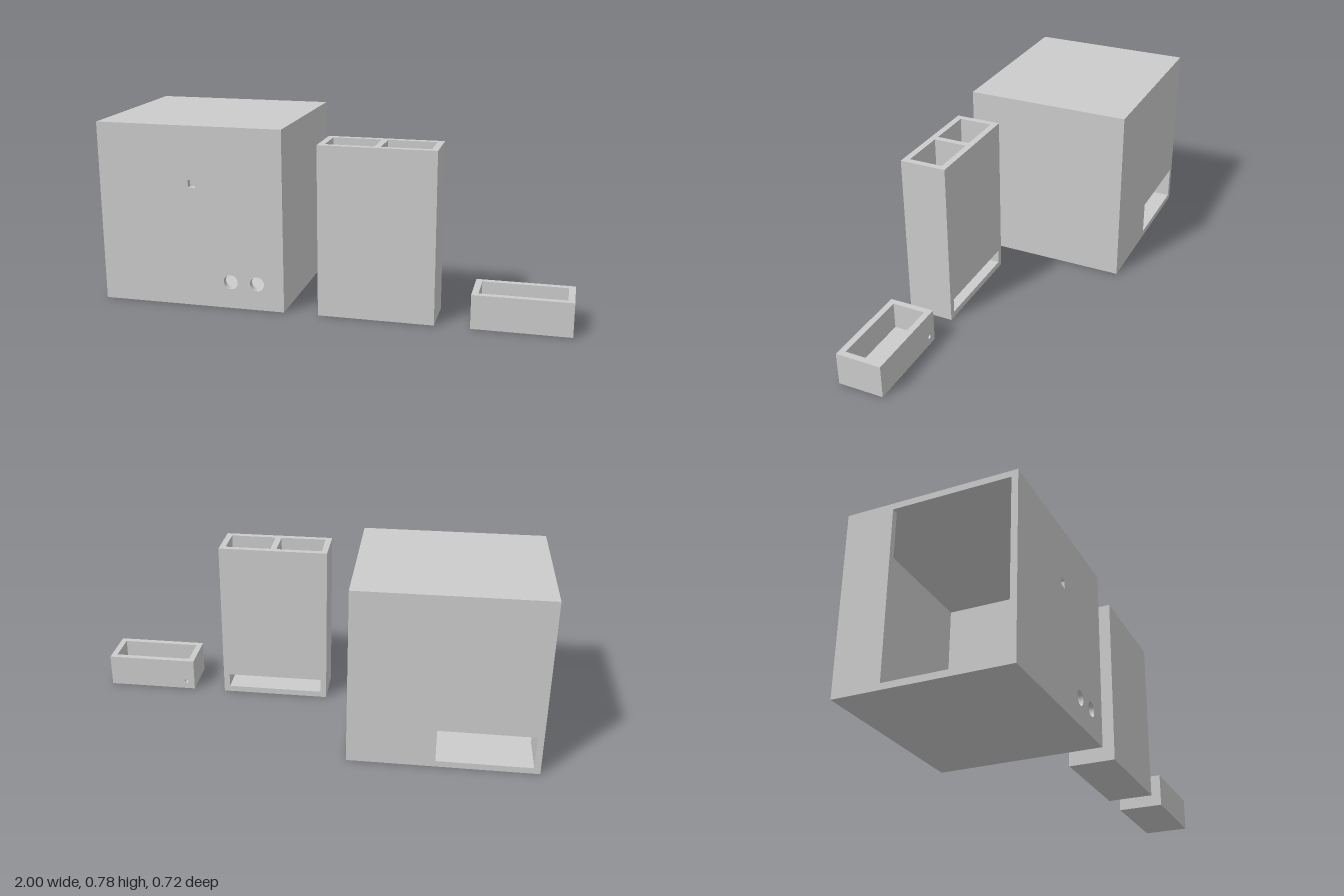
import * as THREE from 'three';

const T = 0.027; // wall thickness
const FRONT = 0.36;
const material = new THREE.MeshStandardMaterial({ color: 0xcccccc });

function add(group, name, geometry) {
  const mesh = new THREE.Mesh(geometry, material);
  mesh.name = name;
  group.add(mesh);
}

// Solid block between two corners
function block(group, name, [x0, y0, z0], [x1, y1, z1]) {
  const g = new THREE.BoxGeometry(x1 - x0, y1 - y0, z1 - z0);
  g.translate((x0 + x1) / 2, (y0 + y1) / 2, (z0 + z1) / 2);
  add(group, name, g);
}

function rectPath(Type, x0, y0, x1, y1) {
  return new Type([[x0, y0], [x1, y0], [x1, y1], [x0, y1]].map(([x, y]) => new THREE.Vector2(x, y)));
}
const rectHole = (x0, y0, x1, y1) => rectPath(THREE.Path, x0, y0, x1, y1);
const roundHole = (x, y, r) => new THREE.Path().absarc(x, y, r, 0, Math.PI * 2, true);

// Plate of thickness T with holes cut through it
function plate(x0, y0, x1, y1, holes) {
  const shape = rectPath(THREE.Shape, x0, y0, x1, y1);
  shape.holes.push(...holes);
  return new THREE.ExtrudeGeometry(shape, { depth: T, bevelEnabled: false, curveSegments: 24 });
}
const upright = (group, name, rect, z, holes = []) =>
  add(group, name, plate(...rect, holes).translate(0, 0, z));
// Flat plate: rect and holes are in x and z, top is its upper height
const flat = (group, name, rect, top, holes = []) =>
  add(group, name, plate(...rect, holes).rotateX(Math.PI / 2).translate(0, top, 0));

// Large housing, open on one side, with a tray slot in the back
function makeHousing() {
  const g = new THREE.Group();
  g.name = 'housing';
  const x0 = -1, x1 = -0.19, h = 0.782, back = -0.362, front = 0.362;
  const zi0 = back + T, zi1 = front - T;
  upright(g, 'frontPanel', [x0, 0, x1, h], zi1, [
    roundHole(-0.424, 0.116, 0.031),
    roundHole(-0.307, 0.116, 0.031),
    rectHole(-0.6, 0.52, -0.568, 0.552),
  ]);
  upright(g, 'backPanel', [x0, 0, x1, h], back, [rectHole(x0 + T, T, -0.566, 0.175)]);
  block(g, 'floor', [x0, 0, zi0], [x1, T, zi1]);
  block(g, 'roof', [x0, h - T, zi0], [x1, h, zi1]);
  block(g, 'closedSide', [x1 - T, T, zi0], [x1, h - T, zi1]);
  block(g, 'openSideStrip', [x0, T, zi0], [x0 + T, h - T, -0.16]);
  return g;
}

// Tall container: two open compartments that drain into a slot at the base
function makeContainer() {
  const g = new THREE.Group();
  g.name = 'container';
  const x0 = -0.043, x1 = 0.446, h = 0.726, back = 0.16, slotTop = 0.09;
  const zi0 = back + T, zi1 = FRONT - T, mid = (x0 + x1) / 2;
  upright(g, 'frontPanel', [x0, 0, x1, h], zi1);
  upright(g, 'backPanel', [x0, 0, x1, h], back, [rectHole(x0 + T, T, x1 - T, slotTop)]);
  block(g, 'rightWall', [x0, 0, zi0], [x0 + T, h, zi1]);
  block(g, 'leftWall', [x1 - T, 0, zi0], [x1, h, zi1]);
  block(g, 'base', [x0 + T, 0, zi0], [x1 - T, T, zi1]);
  block(g, 'divider', [mid - T / 2, slotTop + T, zi0], [mid + T / 2, h, zi1]);
  flat(g, 'compartmentFloor', [x0 + T, zi0, x1 - T, zi1], slotTop + T,
    [-0.115, 0.115].map((dx) => roundHole(mid + dx, 0.26, 0.016)));
  return g;
}

// Small open tray with a pinhole in the back
function makeTray() {
  const g = new THREE.Group();
  g.name = 'tray';
  const x0 = 0.593, x1 = 1, h = 0.145, back = 0.16;
  const zi0 = back + T, zi1 = FRONT - T;
  upright(g, 'frontPanel', [x0, 0, x1, h], zi1);
  upright(g, 'backPanel', [x0, 0, x1, h], back, [roundHole(0.632, 0.038, 0.009)]);
  block(g, 'rightWall', [x0, 0, zi0], [x0 + T, h, zi1]);
  block(g, 'leftWall', [x1 - T, 0, zi0], [x1, h, zi1]);
  block(g, 'base', [x0 + T, 0, zi0], [x1 - T, T, zi1]);
  return g;
}

export function createModel() {
  const model = new THREE.Group();
  model.name = 'dispenserParts';
  model.add(makeHousing(), makeContainer(), makeTray());
  return model;
}
